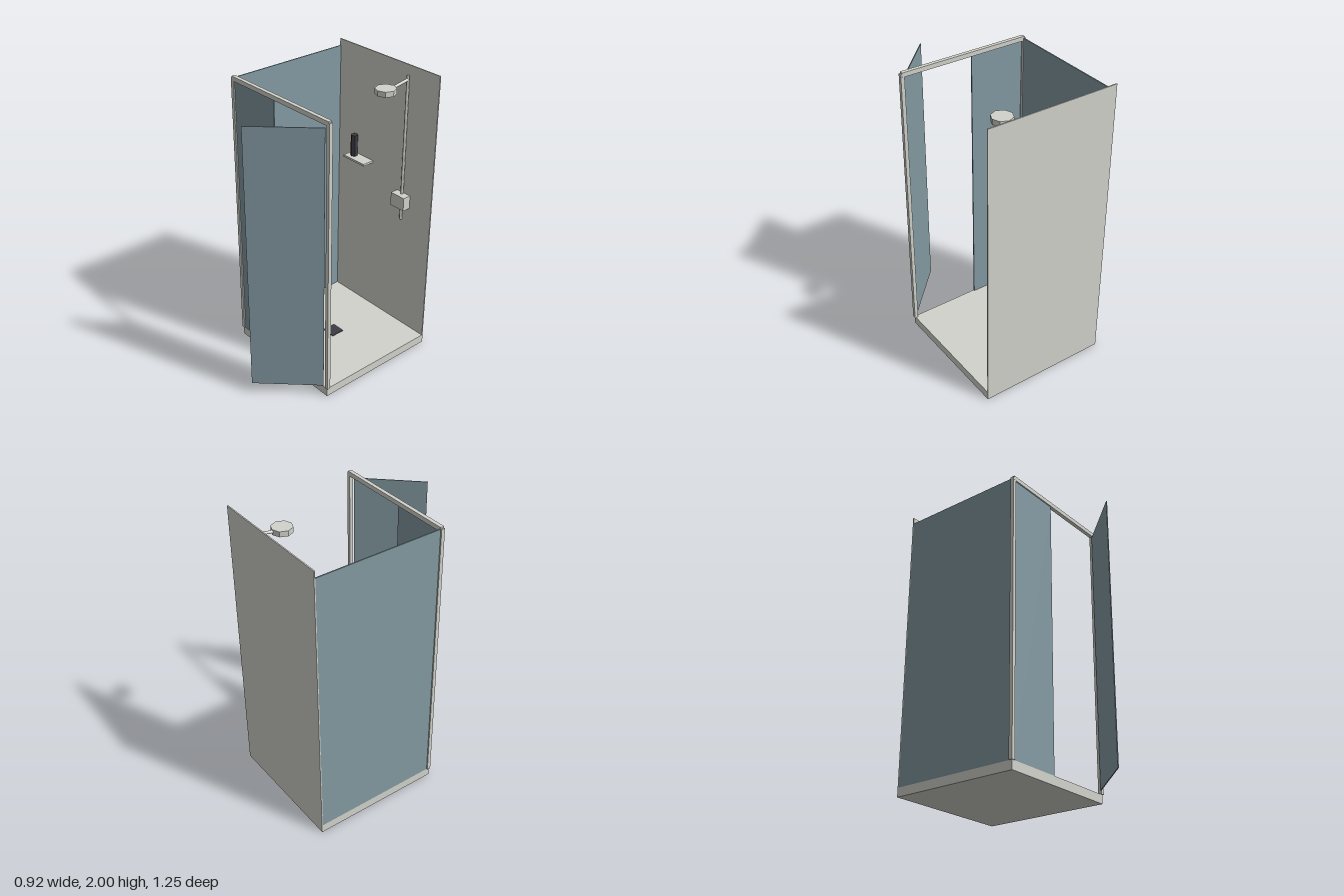
import * as THREE from 'three';

function material(name, color) {
  const m = new THREE.MeshStandardMaterial({ color });
  m.name = name;
  return m;
}

export function createModel() {
  const group = new THREE.Group();
  group.name = 'showerCubicle';
  const enamel = material('paleEnamel', 0xd3d3cd);
  const glass = material('blueGlass', 0x839aa2);
  const dark = material('darkPlastic', 0x3e3c44);

  const add = (name, geometry, mat, parent = group) => {
    const mesh = new THREE.Mesh(geometry, mat);
    mesh.name = name;
    parent.add(mesh);
    return mesh;
  };

  // Box given by its limits on each axis
  const box = (name, mat, [x0, x1], [y0, y1], [z0, z1], parent = group) => {
    const mesh = add(name, new THREE.BoxGeometry(x1 - x0, y1 - y0, z1 - z0), mat, parent);
    mesh.position.set((x0 + x1) / 2, (y0 + y1) / 2, (z0 + z1) / 2);
    return mesh;
  };

  // Round bar between two points
  const bar = (name, mat, from, to, radius) => {
    const a = new THREE.Vector3(...from), b = new THREE.Vector3(...to);
    const mesh = add(name, new THREE.CylinderGeometry(radius, radius, a.distanceTo(b), 8), mat);
    mesh.position.copy(a).lerp(b, 0.5);
    mesh.quaternion.setFromUnitVectors(new THREE.Vector3(0, 1, 0), b.sub(a).normalize());
    return mesh;
  };

  // Tray, drain and back wall
  box('tray', enamel, [-0.45, 0.45], [0, 0.06], [-0.62, 0.275]);
  box('drain', dark, [-0.05, 0.05], [0.06, 0.064], [-0.23, -0.13]);
  box('backWall', enamel, [-0.45, 0.45], [0, 2], [-0.624, -0.616]);

  // Front frame
  for (const side of [-1, 1]) {
    const x = side * 0.4465;
    box(side > 0 ? 'leftPost' : 'rightPost', enamel,
      [x - 0.0125, x + 0.0125], [0.06, 1.955], [0.256, 0.281]);
  }
  box('header', enamel, [-0.45, 0.45], [1.935, 1.965], [0.2555, 0.2815]);

  // Fixed glass
  box('sideGlass', glass, [-0.45, -0.442], [0.06, 1.953], [-0.616, 0.257]);
  box('frontGlass', glass, [-0.436, -0.05], [0.06, 1.936], [0.265, 0.273]);

  // Door swung open on its hinge at the left post
  const door = new THREE.Group();
  door.name = 'door';
  door.position.set(0.425, 0, 0.283);
  door.rotation.y = 0.808;
  box('doorGlass', glass, [-0.47, 0], [0.08, 1.92], [-0.003, 0.003], door);
  group.add(door);

  // Riser rail, mixer valve, arm and shower head
  bar('riserRail', enamel, [0.2, 0.905, -0.6], [0.2, 1.935, -0.6], 0.01);
  box('mixerValve', enamel, [0.14, 0.26], [1.005, 1.1], [-0.616, -0.557]);
  bar('showerArm', enamel, [0.2, 1.91, -0.605], [0.2, 1.882, -0.43], 0.01);
  const headGeometry = new THREE.CylinderGeometry(0.069, 0.069, 0.036, 8).toNonIndexed();
  headGeometry.computeVertexNormals();
  add('showerHead', headGeometry, enamel).position.set(0.2, 1.885, -0.408);

  // Shelf with bottle
  box('shelf', enamel, [-0.3, -0.1], [1.21, 1.225], [-0.616, -0.527]);
  const bottleGeometry = new THREE.CylinderGeometry(0.025, 0.025, 0.155, 6).toNonIndexed();
  bottleGeometry.computeVertexNormals();
  add('bottle', bottleGeometry, dark).position.set(-0.25, 1.3025, -0.577);

  return group;
}
